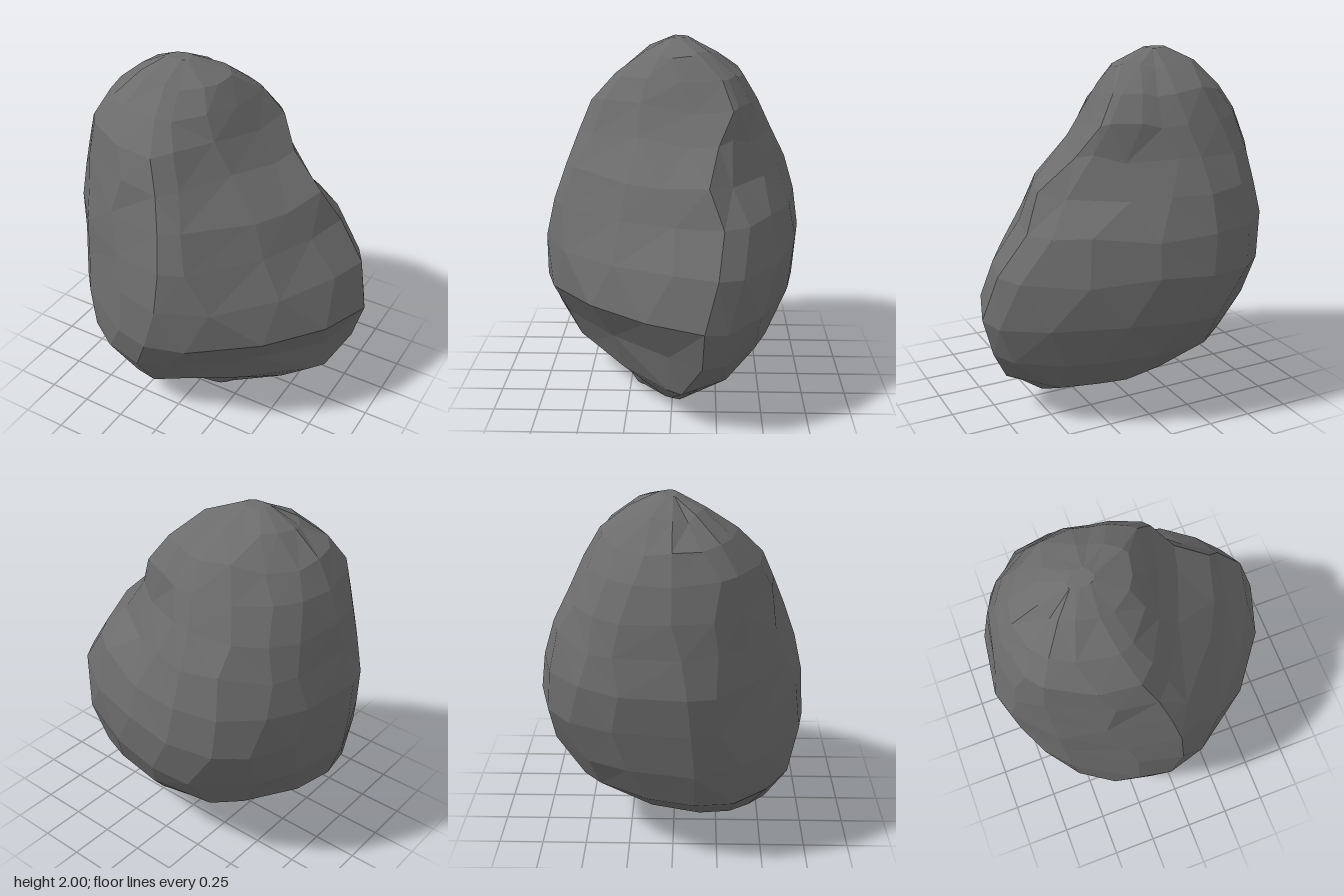
import * as THREE from 'three';

// Cross-sections, bottom to top:
// height, left point (x, z), right point (x, z), back point (z, x), front point (z, x),
// roundness of the front corner on the +x side and on the -x side
const LEVELS = [
  [0.00, 0.05, 0.15, 0.18, 0.14, 0.10, 0.12, 0.22, 0.10, 1.6, 1.6],
  [0.08, -0.15, 0.24, 0.49, 0.00, -0.18, 0.12, 0.32, -0.02, 1.15, 1.8],
  [0.20, -0.48, 0.15, 0.69, -0.06, -0.41, 0.10, 0.57, -0.12, 1.15, 1.9],
  [0.40, -0.72, 0.12, 0.80, -0.17, -0.58, 0.00, 0.69, -0.15, 1.3, 2.0],
  [0.62, -0.80, 0.12, 0.86, -0.18, -0.70, -0.10, 0.75, -0.05, 1.6, 1.75],
  [0.88, -0.84, 0.10, 0.79, -0.25, -0.74, -0.25, 0.74, 0.02, 1.5, 1.65],
  [1.10, -0.86, 0.08, 0.63, -0.28, -0.71, -0.28, 0.69, 0.02, 1.5, 1.7],
  [1.30, -0.82, 0.05, 0.53, -0.20, -0.65, -0.28, 0.62, -0.02, 1.45, 1.85],
  [1.48, -0.79, 0.00, 0.33, -0.25, -0.56, -0.26, 0.55, -0.07, 1.3, 2.1],
  [1.65, -0.73, 0.00, 0.22, -0.33, -0.48, -0.22, 0.48, -0.14, 1.4, 2.3],
  [1.80, -0.65, 0.00, 0.12, -0.27, -0.39, -0.20, 0.34, -0.20, 1.7, 2.2],
  [1.92, -0.50, 0.00, 0.01, -0.10, -0.24, -0.22, 0.17, -0.24, 2.0, 2.0],
  [2.00, -0.34, 0.00, -0.20, -0.02, -0.08, -0.24, 0.02, -0.25, 2.0, 1.8],
];
const PER_QUADRANT = 4;
const SIDES = PER_QUADRANT * 4;

// Small seeded generator, -1 to 1
function seeded(seed) {
  return () => {
    seed = (seed * 16807) % 2147483647;
    return (seed / 2147483647) * 2 - 1;
  };
}

// One closed loop: four rounded corners joining the right, front, left and back points
function ring([y, xL, zL, xR, zR, zB, xB, zF, xF, pRight, pLeft], rand, inner) {
  const pBack = y > 1.2 ? 1.35 : 1.65; // shallow groove behind the shoulder
  const corners = [
    { x: xR, z: zF, cx: xF, cz: zR, p: pRight },
    { x: xL, z: zF, cx: xF, cz: zL, p: pLeft },
    { x: xL, z: zB, cx: xB, cz: zL, p: 2.15 },
    { x: xR, z: zB, cx: xB, cz: zR, p: pBack },
  ];
  const points = [];
  corners.forEach((c, q) => {
    for (let i = 0; i < PER_QUADRANT; i++) {
      const loose = inner && i > 0;
      let t = (i + (loose ? rand() * 0.25 : 0)) / PER_QUADRANT;
      if (q % 2) t = 1 - t;
      const a = t * Math.PI / 2;
      const u = Math.max(0, Math.cos(a)) ** (2 / c.p);
      const v = Math.max(0, Math.sin(a)) ** (2 / c.p);
      const lift = loose ? rand() * 0.025 : 0;
      points.push(new THREE.Vector3(c.cx + (c.x - c.cx) * u, y + lift, c.cz + (c.z - c.cz) * v));
    }
  });
  return points;
}

function boulderGeometry() {
  const rand = seeded(71);
  const last = LEVELS.length - 1;
  const rings = LEVELS.map((level, k) => ring(level, rand, k > 0 && k < last));
  const positions = [];
  const tri = (...corners) => corners.forEach((p) => positions.push(p.x, p.y, p.z));
  const middle = (loop) => loop
    .reduce((sum, p) => sum.add(p), new THREE.Vector3())
    .divideScalar(loop.length);
  const bottom = middle(rings[0]);
  const top = middle(rings[last]);

  for (let i = 0; i < SIDES; i++) {
    const j = (i + 1) % SIDES;
    // Faceted sides, each quad split along its shorter diagonal
    for (let k = 0; k < last; k++) {
      const a = rings[k][i], b = rings[k][j], c = rings[k + 1][i], d = rings[k + 1][j];
      if (a.distanceTo(d) < b.distanceTo(c)) {
        tri(a, c, d);
        tri(a, d, b);
      } else {
        tri(a, c, b);
        tri(b, c, d);
      }
    }
    // Small end caps
    tri(bottom, rings[0][i], rings[0][j]);
    tri(top, rings[last][j], rings[last][i]);
  }

  const geometry = new THREE.BufferGeometry();
  geometry.setAttribute('position', new THREE.Float32BufferAttribute(positions, 3));
  geometry.computeVertexNormals();
  return geometry;
}

export function createModel() {
  const group = new THREE.Group();
  group.name = 'rock';
  const stone = new THREE.MeshStandardMaterial({ color: 0x6c6c6c, flatShading: true });
  const boulder = new THREE.Mesh(boulderGeometry(), stone);
  boulder.name = 'boulder';
  group.add(boulder);
  return group;
}
